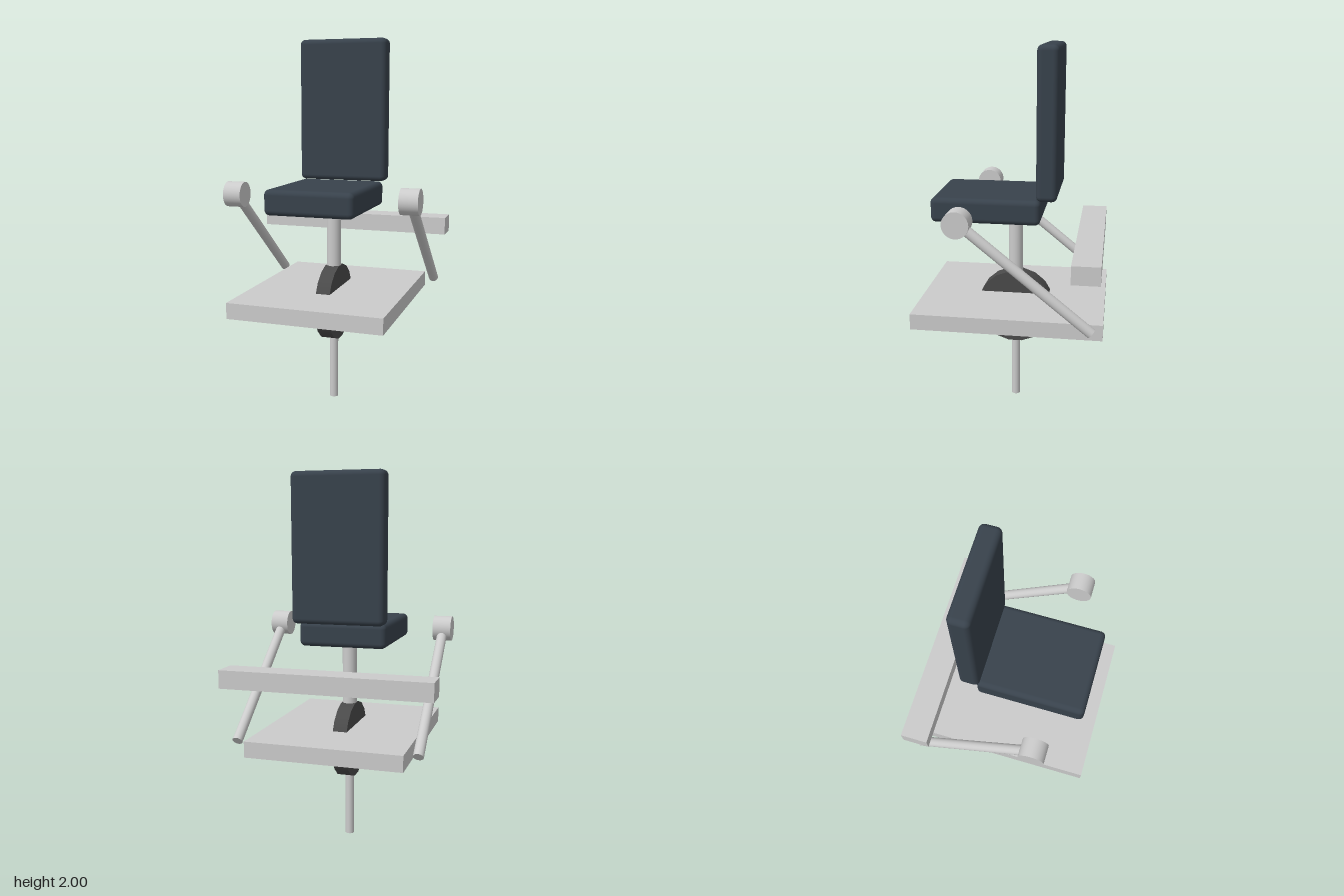
import * as THREE from 'three';
import { RoundedBoxGeometry } from 'three/addons/geometries/RoundedBoxGeometry.js';

export function createModel() {
  const model = new THREE.Group();
  const grey = new THREE.MeshStandardMaterial({ color: 0xcccccc });
  const dark = new THREE.MeshStandardMaterial({ color: 0x4a4a4a });
  const padding = new THREE.MeshStandardMaterial({ color: 0x38424c });

  function add(name, geometry, material, x, y, z) {
    const mesh = new THREE.Mesh(geometry, material);
    mesh.name = name;
    mesh.position.set(x, y, z);
    model.add(mesh);
    return mesh;
  }
  // Cylinder between two points
  function rod(name, a, b, radius, sides, material = grey) {
    const from = new THREE.Vector3(...a), to = new THREE.Vector3(...b);
    const dir = to.clone().sub(from);
    const mid = from.clone().add(to).multiplyScalar(0.5);
    const mesh = add(name, new THREE.CylinderGeometry(radius, radius, dir.length(), sides), material, mid.x, mid.y, mid.z);
    mesh.quaternion.setFromUnitVectors(new THREE.Vector3(0, 1, 0), dir.normalize());
    return mesh;
  }

  // Platform and rear crossbar
  add('platform', new THREE.BoxGeometry(0.83, 0.085, 1), grey, 0, 0.603, 0);
  add('rearCrossbar', new THREE.BoxGeometry(1.108, 0.096, 0.143), grey, 0, 0.957, -0.412);

  // Wheel through the platform, with its axle
  rod('wheel', [-0.039, 0.56, 0], [0.039, 0.56, 0], 0.21, 18, dark);
  rod('axle', [-0.083, 0.56, 0], [0.083, 0.56, 0], 0.025, 16);

  // Posts below the wheel and below the seat
  rod('lowerPost', [0, 0, 0], [0, 0.4, 0], 0.024, 20);
  rod('seatPost', [0, 0.7, 0], [0, 1.12, 0], 0.039, 20);

  // Cushions
  add('seat', new RoundedBoxGeometry(0.475, 0.132, 0.576, 4, 0.028), padding, 0, 1.16, 0.132);
  add('backrest', new RoundedBoxGeometry(0.496, 0.776, 0.108, 4, 0.028), padding, 0, 1.612, -0.188);

  // Sloping side levers with round grips
  for (const side of [-1, 1]) {
    const x = side * 0.477, prefix = side > 0 ? 'left' : 'right';
    rod(prefix + 'Lever', [x, 0.628, -0.444], [x, 1.17, 0.222], 0.027, 20);
    rod(prefix + 'Grip', [x - 0.049, 1.17, 0.222], [x + 0.049, 1.17, 0.222], 0.068, 28);
  }
  return model;
}
